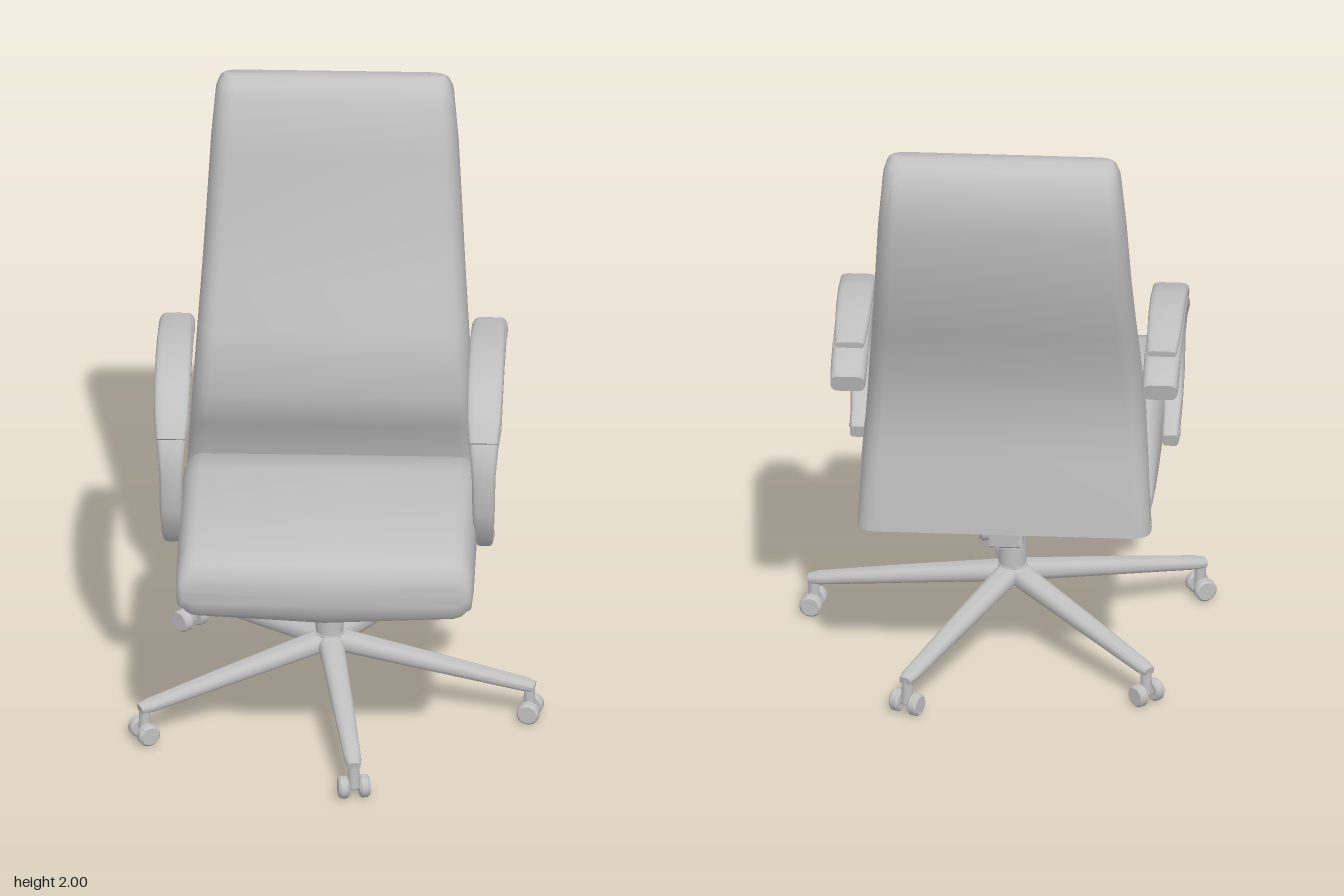
import * as THREE from 'three';
import { toCreasedNormals } from 'three/addons/utils/BufferGeometryUtils.js';

const grey = new THREE.MeshStandardMaterial({ color: 0xc0c0c0 });
grey.name = 'light grey';

function add(parent, name, geometry, x = 0, y = 0, z = 0) {
  const mesh = new THREE.Mesh(geometry, grey);
  mesh.name = name;
  mesh.position.set(x, y, z);
  parent.add(mesh);
  return mesh;
}

// Rounded rectangle outline with elliptical corners and a point mid-way along each edge
function outline(w, h, rx, ry, steps = 4) {
  const pts = [];
  const signs = [[1, 1], [-1, 1], [-1, -1], [1, -1]];
  signs.forEach(([sx, sy], k) => {
    for (let i = 0; i <= steps; i++) {
      const a = (k + i / steps) * Math.PI / 2;
      pts.push([sx * (w - rx) + rx * Math.cos(a), sy * (h - ry) + ry * Math.sin(a)]);
    }
    pts.push(k % 2 === 0 ? [0, sy * h] : [sx * w, 0]);
  });
  return pts;
}

// Sweeps rounded sections [z, y, halfWidth, halfHeight, cornerX, cornerY] along a path in the z-y plane
function sweep(sections, { tangent, rule, crease = 0.75 } = {}) {
  const pos = [], index = [];
  const last = sections.length - 1;
  let n = 0;
  sections.forEach(([z, y, w, h, rx = w * 0.4, ry = h * 0.7], s) => {
    const a = sections[Math.max(s - 1, 0)], b = sections[Math.min(s + 1, last)];
    let [tz, ty] = tangent || [b[0] - a[0], b[1] - a[1]];
    const len = Math.hypot(tz, ty);
    tz /= len; ty /= len;
    const ring = outline(w, h, rx, ry);
    n = ring.length;
    for (const [u, v] of ring) pos.push(u, y + v * tz, z - v * ty);
  });
  for (let s = 0; s < last; s++) {
    for (let i = 0; i < n; i++) {
      const j = (i + 1) % n, a = s * n + i, b = s * n + j;
      index.push(a, b, b + n, a, b + n, a + n);
    }
  }
  // end caps
  for (const s of [0, last]) {
    const centre = pos.length / 3;
    pos.push(0, sections[s][1], sections[s][0]);
    for (let i = 0; i < n; i++) {
      const a = s * n + i, b = s * n + (i + 1) % n;
      index.push(centre, ...(s ? [a, b] : [b, a]));
    }
  }
  const geo = new THREE.BufferGeometry();
  geo.setAttribute('position', new THREE.Float32BufferAttribute(pos, 3));
  geo.setIndex(index);
  if (rule) {
    const p = geo.attributes.position, v = new THREE.Vector3();
    for (let i = 0; i < p.count; i++) {
      rule(v.fromBufferAttribute(p, i));
      p.setXYZ(i, v.x, v.y, v.z);
    }
  }
  return toCreasedNormals(geo, crease);
}

function cylinder(r1, r2, h, sides = 16) {
  return new THREE.CylinderGeometry(r1, r2, h, sides);
}

function createCushions(chair) {
  // seat rows: z, half width, bottom, top
  const seat = [
    [-0.36, 0.465, 0.57, 0.65], [-0.32, 0.472, 0.57, 0.70], [-0.2, 0.478, 0.57, 0.805],
    [-0.05, 0.48, 0.57, 0.832], [0.28, 0.48, 0.57, 0.84], [0.46, 0.48, 0.575, 0.825],
    [0.53, 0.478, 0.595, 0.80], [0.555, 0.472, 0.63, 0.765], [0.562, 0.46, 0.67, 0.73],
  ].map(([z, w, b, t]) => [z, (t + b) / 2, w, (t - b) / 2, 0.06, (t - b) * 0.38]);
  add(chair, 'seatCushion', sweep(seat, {
    tangent: [1, 0], crease: 1,
    rule: (p) => {
      const edge = Math.min(1, (p.x / 0.48) ** 2);
      if (p.z > 0.4) p.z += 0.016 * (1 - edge);
      if (p.y < 0.62) p.y += 0.02 * edge;
    },
  }));

  // backrest rows: y, half width, rear z, front z
  const back = [
    [0.6, 0.475, -0.515, -0.37], [0.75, 0.466, -0.505, -0.345], [0.86, 0.459, -0.492, -0.295],
    [1.0, 0.45, -0.48, -0.235], [1.2, 0.436, -0.52, -0.295], [1.35, 0.425, -0.575, -0.345],
    [1.52, 0.414, -0.635, -0.4], [1.76, 0.4, -0.68, -0.447], [1.94, 0.384, -0.677, -0.487],
    [1.98, 0.372, -0.635, -0.52], [2.0, 0.358, -0.6, -0.55],
  ].map(([y, w, r, f]) => [(r + f) / 2, y, w, (f - r) / 2, 0.055, (f - r) * 0.38]);
  add(chair, 'backrest', sweep(back, { tangent: [0, 1], crease: 0.9 }));
}

function createArm() {
  const arm = new THREE.Group();
  arm.name = 'armrest';
  // curved support from the backrest forward and down to the seat side
  add(arm, 'armSupport', sweep([
    [-0.49, 1.12, 0.055, 0.03], [-0.47, 1.125, 0.057, 0.042], [-0.42, 1.15, 0.058, 0.04],
    [-0.34, 1.178, 0.058, 0.026], [-0.1, 1.197, 0.058, 0.022], [0.06, 1.178, 0.058, 0.022],
    [0.17, 1.11, 0.056, 0.026], [0.208, 1.05, 0.046, 0.032], [0.226, 0.96, 0.038, 0.026],
    [0.222, 0.84, 0.036, 0.027], [0.185, 0.745, 0.032, 0.032], [0.12, 0.695, 0.029, 0.036],
    [0.07, 0.678, 0.028, 0.037], [0.045, 0.672, 0.026, 0.022],
  ]));
  add(arm, 'armPad', sweep([
    [0.225, 1.085, 0.046, 0.012], [0.175, 1.15, 0.054, 0.019], [0.08, 1.205, 0.058, 0.021],
    [-0.05, 1.234, 0.058, 0.022], [-0.17, 1.237, 0.057, 0.02], [-0.3, 1.22, 0.053, 0.018],
    [-0.385, 1.206, 0.046, 0.012],
  ]));
  // bolt fixing the arm to the seat
  add(arm, 'armBolt', cylinder(0.012, 0.012, 0.06, 10), 0, 0.68, 0.085).rotation.z = Math.PI / 2;
  return arm;
}

function createMechanism(chair) {
  add(chair, 'seatPan', new THREE.BoxGeometry(0.5, 0.014, 0.52), 0, 0.566, 0.03);
  // wedge-shaped tilt housing
  const side = new THREE.Shape([[0.26, 0.56], [-0.22, 0.56], [-0.02, 0.465], [0.06, 0.445]]
    .map(([z, y]) => new THREE.Vector2(z, y)));
  const wedge = new THREE.ExtrudeGeometry(side, { depth: 0.18, bevelEnabled: false });
  wedge.translate(0, 0, -0.09).rotateY(-Math.PI / 2);
  add(chair, 'tiltHousing', wedge);
  // arm from the housing to the backrest
  add(chair, 'backBar', sweep([
    [-0.07, 0.485, 0.055, 0.024], [-0.24, 0.495, 0.055, 0.028], [-0.385, 0.51, 0.055, 0.025],
  ]));
  add(chair, 'backBracket', sweep([
    [-0.38, 0.512, 0.05, 0.004], [-0.45, 0.525, 0.05, 0.004],
    [-0.475, 0.54, 0.05, 0.004], [-0.48, 0.602, 0.05, 0.004],
  ]));
  // adjustment controls
  add(chair, 'tiltPaddle', new THREE.BoxGeometry(0.27, 0.07, 0.012), -0.225, 0.48, 0.13);
  add(chair, 'heightLever', new THREE.BoxGeometry(0.3, 0.014, 0.035), 0.21, 0.495, 0.13);
  add(chair, 'leverGrip', new THREE.BoxGeometry(0.12, 0.016, 0.08), 0.3, 0.495, 0.155);
}

function createBase() {
  const base = new THREE.Group();
  base.name = 'swivelBase';
  add(base, 'gasColumn', cylinder(0.045, 0.045, 0.31, 24), 0, 0.395, 0);
  add(base, 'hub', cylinder(0.05, 0.045, 0.07, 24), 0, 0.22, 0);
  for (let k = 0; k < 5; k++) {
    const leg = new THREE.Group();
    leg.name = 'legWithCaster';
    leg.rotation.y = THREE.MathUtils.degToRad(80.5 - 72 * k);
    add(leg, 'leg', sweep([
      [0, 0.228, 0.042, 0.033, 0.032, 0.028], [0.35, 0.172, 0.035, 0.027, 0.028, 0.023],
      [0.64, 0.124, 0.027, 0.02, 0.02, 0.017], [0.675, 0.118, 0.02, 0.014, 0.014, 0.01],
    ]));
    add(leg, 'casterStem', cylinder(0.017, 0.02, 0.09, 12), 0, 0.08, 0.658);
    add(leg, 'casterAxle', cylinder(0.012, 0.012, 0.07, 10), 0, 0.037, 0.66).rotation.z = Math.PI / 2;
    for (const s of [-1, 1]) {
      const wheel = new THREE.LatheGeometry([[0, -0.017], [0.03, -0.017], [0.037, -0.01],
        [0.037, 0.01], [0.03, 0.017], [0, 0.017]].map(([r, y]) => new THREE.Vector2(r, y)), 18);
      add(leg, 'casterWheel', toCreasedNormals(wheel, 0.6), s * 0.034, 0.037, 0.66).rotation.z = Math.PI / 2;
    }
    base.add(leg);
  }
  return base;
}

export function createModel() {
  const model = new THREE.Group();
  model.name = 'officeChair';
  const chair = new THREE.Group();
  chair.name = 'chair';
  chair.position.x = -0.01;
  createCushions(chair);
  for (const s of [-1, 1]) {
    const arm = createArm();
    arm.position.x = s * 0.505;
    chair.add(arm);
  }
  createMechanism(chair);
  const base = createBase();
  base.position.z = -0.03;
  chair.add(base);
  model.add(chair);
  return model;
}
